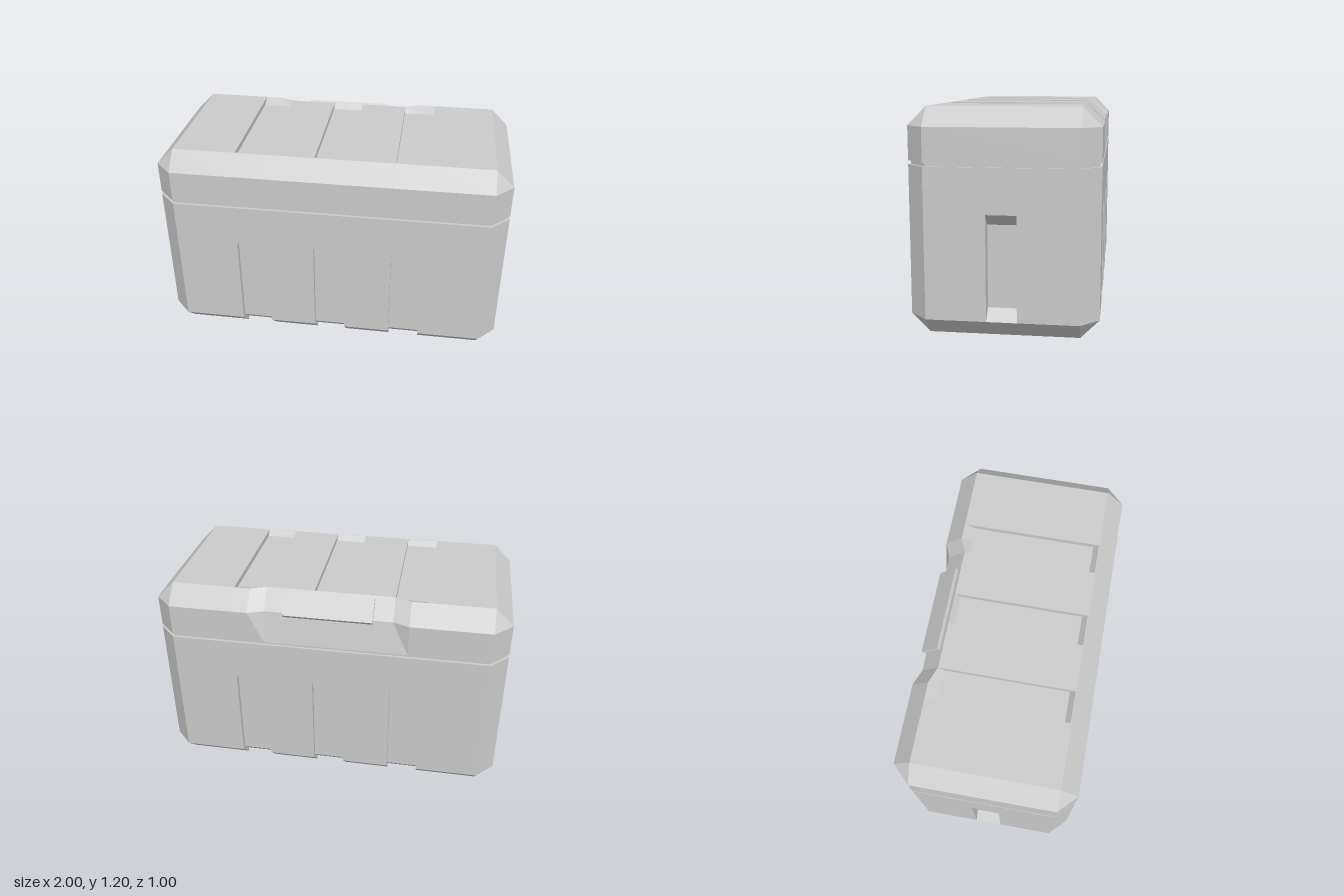
import * as THREE from 'three';

const material = new THREE.MeshStandardMaterial({ color: 0xcccccc, flatShading: true, side: THREE.DoubleSide });

// Collects polygon faces and repeats them for every mirror [sx, sz]
function panelMesh(name, faces, mirrors) {
  const pos = [];
  for (const [sx, sz] of mirrors) {
    for (const face of faces) {
      const p = face.map(([x, y, z]) => [x * sx, y, z * sz]);
      if (sx * sz < 0) p.reverse();
      for (let i = 1; i < p.length - 1; i++) pos.push(...p[0], ...p[i], ...p[i + 1]);
    }
  }
  const g = new THREE.BufferGeometry();
  g.setAttribute('position', new THREE.Float32BufferAttribute(pos, 3));
  g.computeVertexNormals();
  const m = new THREE.Mesh(g, material);
  m.name = name;
  return m;
}

// Quads between two matching rows of points, left row a and right row b
const strip = (a, b) => a.slice(1).map((p, i) => [a[i], p, b[i + 1], b[i]]);
const atX = (x, yz) => yz.map(([y, z]) => [x, y, z]);
const atZ = (z, xy) => xy.map(([x, y]) => [x, y, z]);
const turn = (face, flip) => (flip ? [...face].reverse() : face);

// Both edges of the ribs, with the direction their inner sides face
const grooveSides = [[0.09, -1], [0.36, 1], [0.54, -1]];
// One quarter of the chamfered outline
const quarter = (y) => [[0, y, 0], [0, y, 0.5], [0.9, y, 0.5], [1, y, 0.4], [1, y, 0]];

function makeBase() {
  const f = [];
  // Long wall: plain columns and shallow upright recesses
  const plain = [[0.9, 0.5], [0.1, 0.5], [0, 0.4]];
  const recess = [[0.9, 0.5], [0.66, 0.5], [0.66, 0.47], [0.1, 0.47], [0.03, 0.4]];
  for (const [x0, x1, row] of [[0, 0.09, recess], [0.09, 0.36, plain], [0.36, 0.54, recess], [0.54, 0.9, plain]])
    f.push(...strip(atX(x0, row), atX(x1, row)));
  for (const [x, dir] of grooveSides) {
    f.push(turn(atX(x, [[0.66, 0.5], [0.66, 0.47], [0.1, 0.47], [0.1, 0.5]]), dir > 0));
    f.push(turn(atX(x, [[0.1, 0.5], [0.1, 0.47], [0.03, 0.4], [0, 0.4]]), dir > 0));
  }
  // Chamfered corner
  f.push([[0.9, 0.9, 0.5], [0.9, 0.1, 0.5], [1, 0.1, 0.4], [1, 0.9, 0.4]]);
  f.push([[0.9, 0.1, 0.5], [0.9, 0, 0.4], [1, 0.1, 0.4]]);
  // End wall with hand grip pocket
  const endRow = [[1, 0.9], [1, 0.1], [0.9, 0]];
  const grip = [[1, 0.66], [0.94, 0.6], [0.94, 0.16], [1, 0.1]];
  const gripRow = [[1, 0.9], ...grip, [0.9, 0]];
  f.push(...strip(atZ(0.4, endRow), atZ(0.08, endRow)));
  f.push(...strip(atZ(0.08, gripRow), atZ(0, gripRow)));
  f.push(turn(atZ(0.08, grip), true));
  // Rim
  f.push(quarter(0.9));
  return panelMesh('base', f, [[1, 1], [-1, 1], [1, -1], [-1, -1]]);
}

function makeLid() {
  const f = [];
  // The back is set in around the latch
  const inset = (x) => 0.035 * THREE.MathUtils.clamp((0.45 - x) / 0.09, 0, 1);
  const dip = (x) => [[1.17, -0.335], [1.17, 0.365], [1.2, 0.395]];
  const row = (x, grooved) => atX(x, [
    [0.92, -0.5], [1.1, -0.5 + inset(x)], [1.2, -0.4 + inset(x)],
    ...(grooved ? dip(x) : []),
    [1.2, 0.4], [1.1, 0.5], [0.92, 0.5]]);
  for (const [x0, x1, grooved] of [[0, 0.09, 1], [0.09, 0.36, 0], [0.36, 0.45, 1], [0.45, 0.54, 1], [0.54, 0.9, 0]])
    f.push(...strip(row(x0, grooved), row(x1, grooved)));
  // Groove sides
  for (const [x, dir] of grooveSides)
    f.push(turn(atX(x, [[1.2, 0.395], [1.17, 0.365], [1.17, -0.335], [1.2, -0.4 + inset(x)]]), dir < 0));
  // Corners
  for (const s of [1, -1]) {
    f.push(turn([[0.9, 1.1, 0.5 * s], [0.9, 0.92, 0.5 * s], [1, 0.92, 0.4 * s], [1, 1.1, 0.4 * s]], s < 0));
    f.push(turn([[0.9, 1.2, 0.4 * s], [0.9, 1.1, 0.5 * s], [1, 1.1, 0.4 * s]], s < 0));
    f.push(turn(quarter(0.92).map(([x, y, z]) => [x, y, z * s]), s > 0));
  }
  // End wall and its top chamfer
  const endRow = [[0.9, 1.2], [1, 1.1], [1, 0.92]];
  f.push(...strip(atZ(0.4, endRow), atZ(-0.4, endRow)));
  return panelMesh('lid', f, [[1, 1], [-1, 1]]);
}

// Slightly inset band in the gap between base and lid
function makeSeal() {
  const x = 0.99, z = 0.485, c = 0.095;
  const outline = [[x - c, z], [x, z - c], [x, c - z], [x - c, -z], [c - x, -z], [-x, c - z], [-x, z - c], [c - x, z]];
  const shape = new THREE.Shape(outline.map(([a, b]) => new THREE.Vector2(a, b)));
  const g = new THREE.ExtrudeGeometry(shape, { depth: 0.02, bevelEnabled: false });
  g.rotateX(-Math.PI / 2).translate(0, 0.9, 0);
  const m = new THREE.Mesh(g, material);
  m.name = 'seal';
  return m;
}

function box(name, w, h, d, x, y, z) {
  const m = new THREE.Mesh(new THREE.BoxGeometry(w, h, d), material);
  m.name = name;
  m.position.set(x, y, z);
  return m;
}

export function createModel() {
  const group = new THREE.Group();
  group.name = 'storageCrate';
  group.add(makeBase(), makeLid(), makeSeal());
  // Inner tub, its floor raised above the open foot rim
  group.add(box('innerTub', 1.8, 0.7, 0.8, 0, 0.51, 0));
  // Latch plate lying on the back chamfer
  const latch = box('latchPlate', 0.5, 0.03, 0.14, 0, 1.139, -0.434);
  latch.rotation.x = -Math.PI / 4;
  group.add(latch);
  return group;
}
